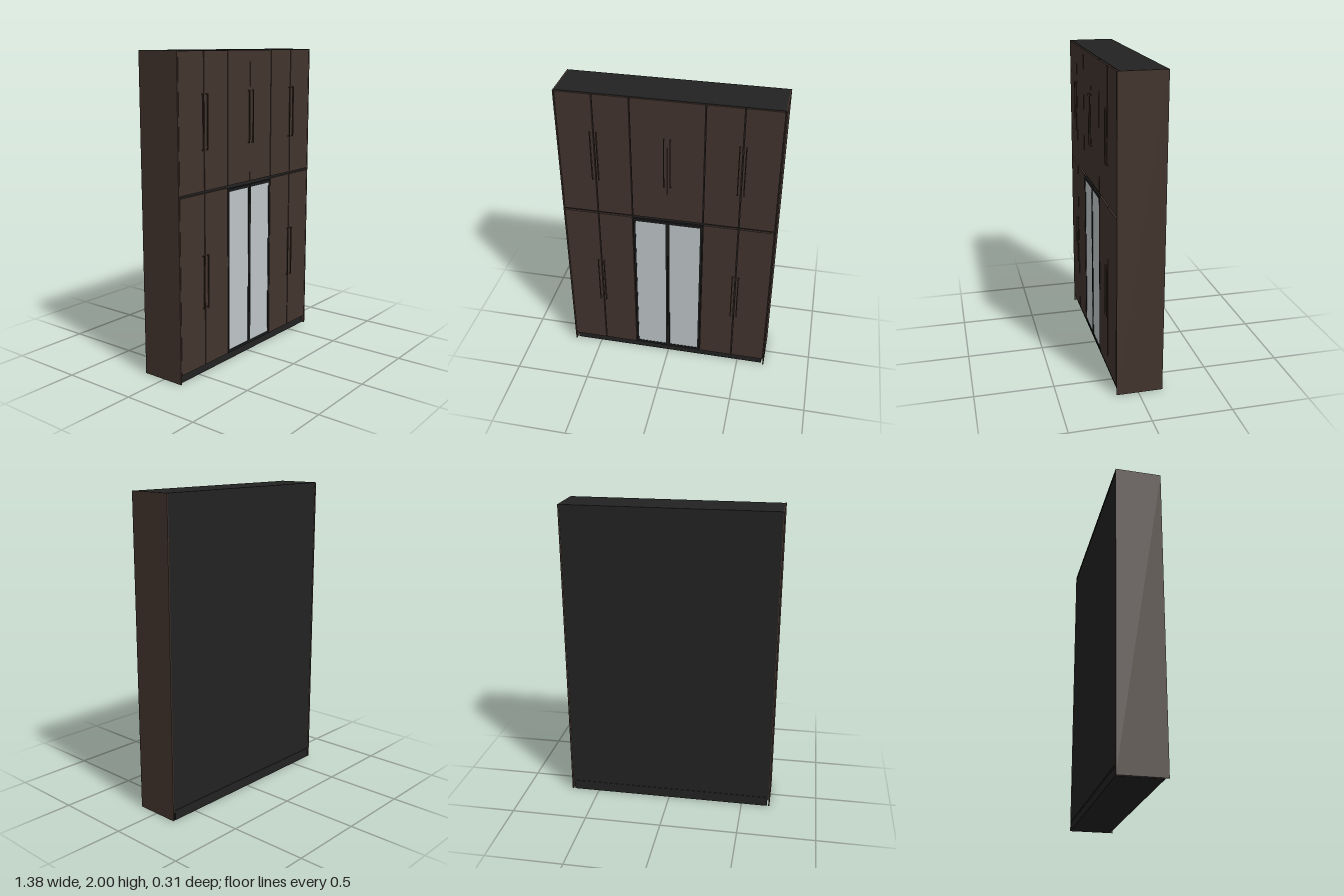
import * as THREE from 'three';

const mat = (name, color) => {
  const m = new THREE.MeshStandardMaterial({ color });
  m.name = name;
  return m;
};

export function createModel() {
  const wood = mat('darkWood', 0x42342d);
  const black = mat('blackCarcass', 0x222222);
  const frameBlack = mat('frameBlack', 0x1b1b1c);
  const glass = mat('paleGlass', 0xbfc6c9);
  const bronze = mat('bronze', 0x3f3022);

  const group = new THREE.Group();

  // Box given by its lower and upper limits on each axis
  const box = (name, material, x0, x1, y0, y1, z0, z1) => {
    const mesh = new THREE.Mesh(new THREE.BoxGeometry(x1 - x0, y1 - y0, z1 - z0), material);
    mesh.position.set((x0 + x1) / 2, (y0 + y1) / 2, (z0 + z1) / 2);
    mesh.name = name;
    group.add(mesh);
    return mesh;
  };

  // Carcass with a slightly inset back panel, and the plinth
  box('carcass', black, -0.682, 0.682, 0.052, 1.998, -0.152, 0.126);
  box('topPanel', black, -0.682, 0.682, 1.982, 2.0, -0.155, 0.128);
  box('bottomPanel', black, -0.682, 0.682, 0.052, 0.066, -0.155, 0.128);
  box('plinth', black, -0.672, 0.672, 0, 0.052, -0.153, 0.122);

  // Outer side panels
  for (const s of [-1, 1]) {
    const side = box('sidePanel', wood, 0.682, 0.69, 0, 2, -0.155, 0.14);
    side.position.x *= s;
  }

  // Bow handle: an upright bar on two short posts
  const handle = (x, y0, y1) => {
    const t = 0.006;
    box('handleBar', bronze, x - t / 2, x + t / 2, y0, y1, 0.155 - t, 0.155);
    for (const y of [y0, y1 - t]) {
      box('handlePost', bronze, x - t / 2, x + t / 2, y, y + t, 0.139, 0.155 - t);
    }
  };

  // Timber doors: six above, four below beside the glass pair
  const edges = [-0.682, -0.455, -0.228, 0, 0.228, 0.455, 0.682];
  for (let i = 0; i < 6; i++) {
    const gap = 0.003;
    const x0 = edges[i] + (i === 3 ? 0.0006 : gap);
    const x1 = edges[i + 1] - (i === 2 ? 0.0006 : gap);
    box('upperDoor', wood, x0, x1, 1.168, 1.997, 0.127, 0.14);
    const hx = i % 2 ? edges[i] + 0.02 : edges[i + 1] - 0.02;
    handle(hx, 1.415, 1.75);
    if (i === 2 || i === 3) continue;
    box('lowerDoor', wood, x0, x1, 0.056, 1.153, 0.127, 0.14);
    handle(hx, 0.43, 0.77);
  }

  // Framed glass doors
  for (const s of [-1, 1]) {
    const frame = new THREE.Shape([
      [0.001, 0.056], [0.226, 0.056], [0.226, 1.145], [0.001, 1.145],
    ].map(([x, y]) => new THREE.Vector2(x, y)));
    frame.holes.push(new THREE.Path([
      [0.013, 0.074], [0.013, 1.126], [0.212, 1.126], [0.212, 0.074],
    ].map(([x, y]) => new THREE.Vector2(x, y))));
    const geo = new THREE.ExtrudeGeometry(frame, { depth: 0.013, bevelEnabled: false });
    const mesh = new THREE.Mesh(geo, frameBlack);
    mesh.position.set(s < 0 ? -0.227 : 0, 0, 0.127);
    mesh.name = 'glassDoorFrame';
    // Turn the left-hand frame round so its narrow stile meets the middle
    if (s < 0) {
      mesh.rotation.y = Math.PI;
      mesh.position.set(0, 0, 0.14);
    }
    group.add(mesh);
    const pane = box('glassPane', glass, 0.012, 0.213, 0.073, 1.127, 0.13, 0.137);
    pane.position.x *= s;
  }

  return group;
}
